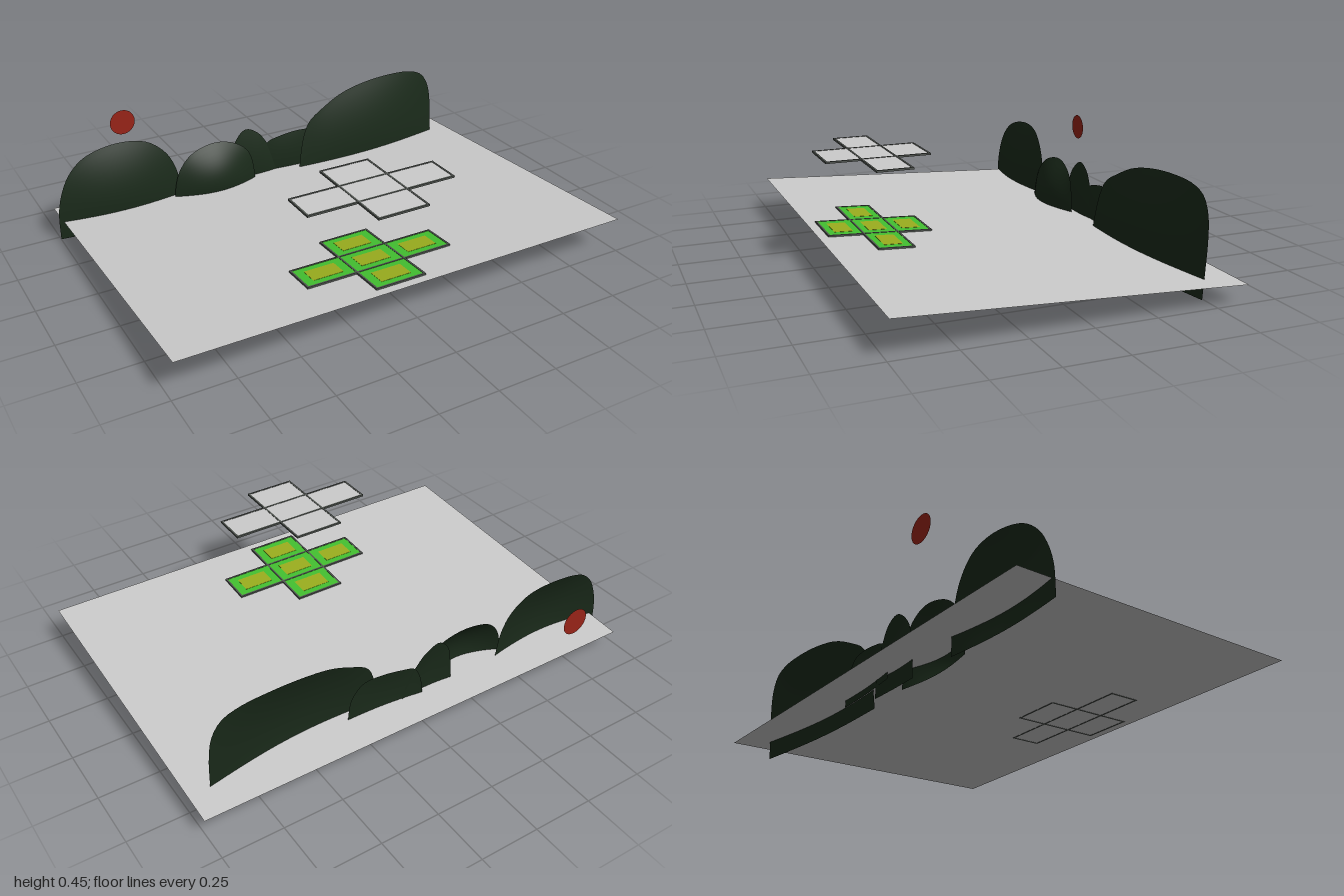
import * as THREE from 'three';

const mat = (color) => new THREE.MeshStandardMaterial({ color, side: THREE.DoubleSide });
const groundMat = mat(0xcccccc), bushMat = mat(0x1a2a1a), frameMat = mat(0x505550);
const greenMat = mat(0x43c030), oliveMat = mat(0x9aae1e), redMat = mat(0x9a2418);

const TILT = -0.0525; // the ground rises gently towards the front
const CELL_W = 0.213, CELL_D = 0.142, BAR = 0.008;

function add(parent, name, geometry, material, x = 0, y = 0, z = 0) {
  const mesh = new THREE.Mesh(geometry, material);
  mesh.name = name;
  mesh.position.set(x, y, z);
  parent.add(mesh);
  return mesh;
}

// Rectangular rim lying flat, centred on y = 0
function rimGeometry() {
  const rect = (target, w, d) => target.moveTo(-w, -d).lineTo(w, -d).lineTo(w, d).lineTo(-w, d).closePath();
  const shape = rect(new THREE.Shape(), CELL_W / 2 + BAR / 2, CELL_D / 2 + BAR / 2);
  shape.holes.push(rect(new THREE.Path(), CELL_W / 2 - BAR / 2, CELL_D / 2 - BAR / 2));
  const depth = 0.008;
  return new THREE.ExtrudeGeometry(shape, { depth, bevelEnabled: false })
    .translate(0, 0, -depth / 2).rotateX(-Math.PI / 2);
}

// Five framed panels set out as a cross
function panelCross(name, coloured) {
  const group = new THREE.Group();
  group.name = name;
  const rim = rimGeometry();
  const sheet = new THREE.BoxGeometry(CELL_W - BAR, 0.002, CELL_D - BAR);
  const inset = new THREE.BoxGeometry(CELL_W * 0.62, 0.001, CELL_D * 0.55);
  for (const [i, j] of [[0, 0], [-1, 0], [1, 0], [0, -1], [0, 1]]) {
    const x = i * CELL_W, z = j * CELL_D;
    add(group, 'panelFrame', rim, frameMat, x, 0, z);
    add(group, 'panel', sheet, coloured ? greenMat : groundMat, x, 0.0015, z);
    if (coloured) add(group, 'panelCentre', inset, oliveMat, x, 0.003, z);
  }
  return group;
}

// Bulging shell under a silhouette; depth offsets are [base, belly, crown] of the middle
function bushGeometry({ outline, floor = 0, sides, lean = 0, depth }) {
  const curve = new THREE.CatmullRomCurve3(outline.map(([x, y]) => new THREE.Vector3(x, y, 0)), false, 'centripetal');
  const cols = 48, rows = 14, pos = [], index = [];
  const x0 = outline[0][0], x1 = outline[outline.length - 1][0];
  const [base, belly, crown] = depth;
  for (let i = 0; i <= cols; i++) {
    const top = curve.getPointAt(i / cols);
    const u = THREE.MathUtils.clamp((top.x - x0) / (x1 - x0), 0, 1);
    for (let j = 0; j <= rows; j++) {
      const v = j / rows;
      const y = floor + (Math.max(top.y, floor) - floor) * v;
      const bulge = base * (1 - v) * (1 - 2 * v) + belly * 4 * v * (1 - v) + crown * v * (2 * v - 1);
      pos.push(top.x, y, THREE.MathUtils.lerp(sides[0], sides[1], u) - lean * y + bulge * Math.sin(Math.PI * u));
      if (i < cols && j < rows) {
        const a = i * (rows + 1) + j, b = a + rows + 1;
        index.push(a, b, b + 1, a, b + 1, a + 1);
      }
    }
  }
  const geometry = new THREE.BufferGeometry();
  geometry.setAttribute('position', new THREE.Float32BufferAttribute(pos, 3));
  geometry.setIndex(index);
  geometry.computeVertexNormals();
  return geometry;
}

const bushes = {
  rightBush: {
    outline: [[-1, 0], [-0.995, 0.13], [-0.97, 0.22], [-0.93, 0.29], [-0.86, 0.345], [-0.71, 0.375],
      [-0.58, 0.355], [-0.5, 0.29], [-0.46, 0.21], [-0.44, 0.1], [-0.435, 0]],
    sides: [-0.48, -0.48], depth: [0.02, 0.03, -0.027],
  },
  frontBush: {
    outline: [[-0.485, 0], [-0.475, 0.13], [-0.45, 0.2], [-0.39, 0.26], [-0.27, 0.29],
      [-0.17, 0.265], [-0.115, 0.215], [-0.092, 0.13], [-0.088, 0]],
    sides: [-0.455, -0.455], depth: [0.024, 0.054, -0.02],
  },
  smallBush: {
    outline: [[-0.2, 0], [-0.195, 0.12], [-0.17, 0.25], [-0.11, 0.305], [-0.05, 0.28],
      [-0.01, 0.23], [0.03, 0.15], [0.05, 0.06], [0.05, 0]],
    sides: [-0.485, -0.488], depth: [0.002, 0.007, -0.018],
  },
  lowBush: {
    outline: [[-0.05, 0.05], [-0.03, 0.17], [0, 0.22], [0.06, 0.238], [0.16, 0.25],
      [0.23, 0.24], [0.28, 0.18], [0.3, 0.05]],
    floor: 0.05, sides: [-0.498, -0.475], depth: [0.005, 0.008, -0.005],
  },
  leftBush: {
    outline: [[0.13, 0], [0.14, 0.1], [0.165, 0.22], [0.2, 0.29], [0.28, 0.34], [0.38, 0.385], [0.5, 0.41],
      [0.65, 0.42], [0.78, 0.412], [0.85, 0.385], [0.89, 0.325], [0.907, 0.22], [0.905, 0]],
    sides: [-0.438, -0.492], lean: 0.06, depth: [0.02, 0.032, -0.012],
  },
};

export function createModel() {
  const model = new THREE.Group();
  model.name = 'landscape';

  // Sloping ground sheet
  const ground = add(model, 'ground', new THREE.PlaneGeometry(1.98, 1.37).rotateX(-Math.PI / 2),
    groundMat, 0.01, 0.109, 0.055);
  ground.rotation.x = TILT;

  // Coloured cross set into the ground, plain cross floating above it
  const lower = panelCross('lowerPanels', true);
  lower.position.set(-0.044, 0.1345, 0.483);
  lower.rotation.x = TILT;
  const upper = panelCross('upperPanels', false);
  upper.position.set(-0.044, 0.444, 0.483);
  model.add(lower, upper);

  // Row of bushes along the back
  for (const [name, spec] of Object.entries(bushes)) add(model, name, bushGeometry(spec), bushMat);

  // Red disc standing behind the bushes
  add(model, 'sun', new THREE.CircleGeometry(0.058, 32), redMat, -0.6, 0.357, -0.74);
  return model;
}
